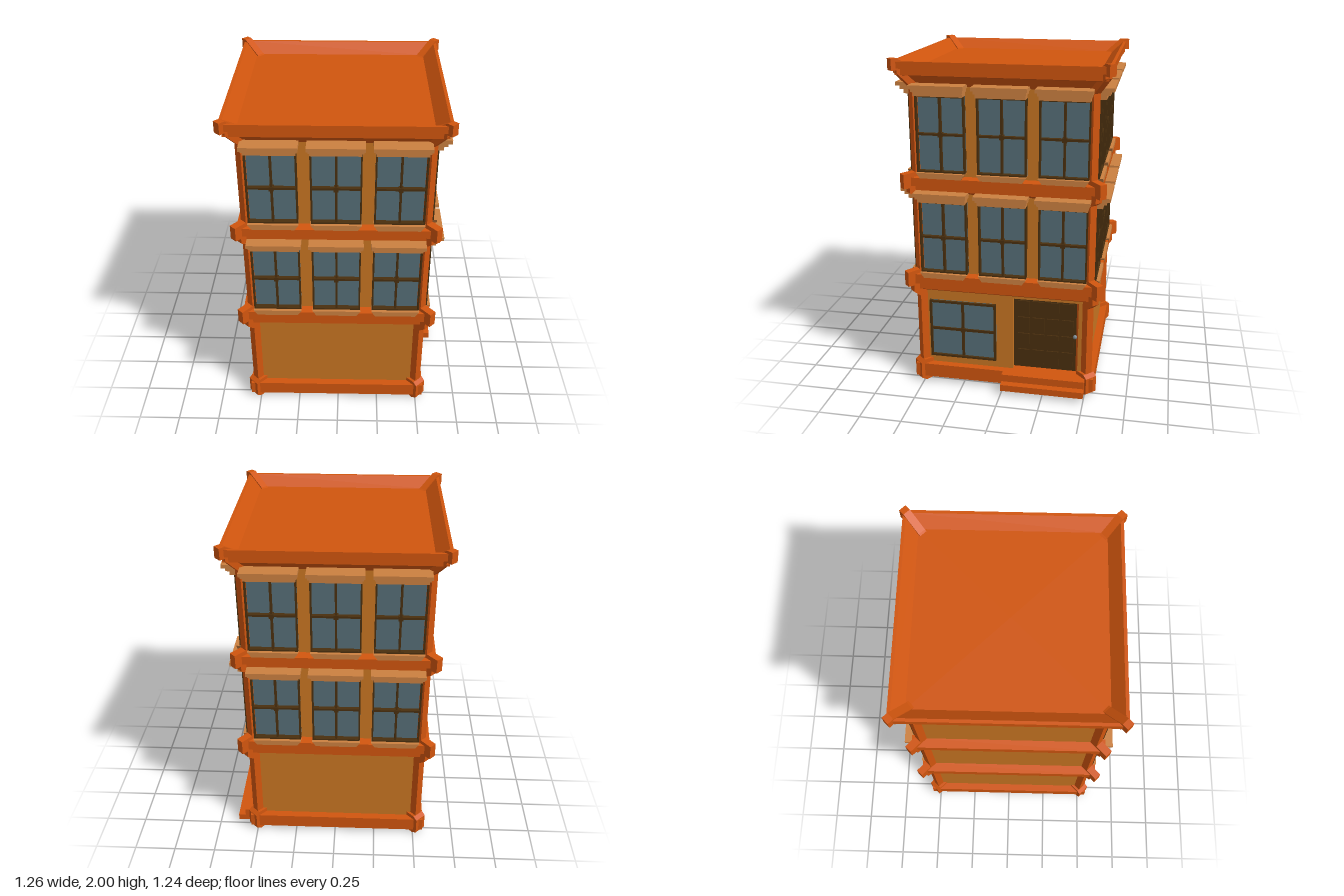
import * as THREE from 'three';

const mat = (name, color) => Object.assign(new THREE.MeshStandardMaterial({ color }), { name });

export function createModel() {
  const orange = mat('orange stone', 0xd0550e);
  const ochre = mat('ochre wall', 0xc87522);
  const tan = mat('tan trim', 0xcb8040);
  const brown = mat('dark brown wood', 0x4a2f0e);
  const glass = mat('window glass', 0x566e77);
  const grey = mat('grey metal', 0x77848c);

  const model = new THREE.Group();
  const building = new THREE.Group();
  building.name = 'building';
  building.position.x = -0.009;
  model.add(building);

  const add = (parent, name, geo, material) => {
    const mesh = new THREE.Mesh(geo, material);
    mesh.name = name;
    parent.add(mesh);
    return mesh;
  };
  // Box given by its extents on each axis
  const box = (parent, name, material, x0, x1, y0, y1, z0, z1) => {
    const mesh = add(parent, name, new THREE.BoxGeometry(x1 - x0, y1 - y0, z1 - z0), material);
    mesh.position.set((x0 + x1) / 2, (y0 + y1) / 2, (z0 + z1) / 2);
    return mesh;
  };
  // Square ring swept round the building from [half width, y] points, bottom to top
  const band = (name, profile) => {
    const pts = profile.map(([h, y]) => new THREE.Vector2(h * Math.SQRT2, y));
    const geo = new THREE.LatheGeometry(pts, 4, Math.PI / 4).toNonIndexed();
    geo.computeVertexNormals();
    return add(building, name, geo, orange);
  };

  // Walls; the ground floor stops short on +x to leave room for the doorway
  const W = 0.505;
  box(building, 'upperWalls', ochre, -W, W, 0.61, 1.9, -W, W);
  box(building, 'groundWalls', ochre, -W, 0.46, 0.1, 0.61, -W, W);

  // Horizontal bands
  band('baseBand', [[0, 0.03], [0.55, 0.03], [0.55, 0.115], [0.45, 0.115]]);
  band('firstFloorBand', [[W, 0.6], [0.54, 0.62], [0.54, 0.66], [0.56, 0.66], [0.56, 0.72], [W, 0.725]]);
  band('secondFloorBand', [[W, 1.22], [0.54, 1.24], [0.54, 1.27], [0.56, 1.27], [0.56, 1.32], [W, 1.325]]);
  band('corniceAndRoof', [[W, 1.84], [0.55, 1.9], [0.585, 1.908], [0.585, 1.945], [0.603, 1.945],
    [0.603, 1.985], [0.585, 1.985], [0.52, 1.925], [0, 1.925]]);

  // Corner posts: a profile on the diagonal, extruded to a thin upright fin
  const fin = (name, profile, width, k) => {
    const shape = new THREE.Shape(profile.map(([r, y]) => new THREE.Vector2(r * Math.SQRT2, y)));
    const geo = new THREE.ExtrudeGeometry(shape, { depth: width, bevelEnabled: false });
    geo.translate(0, 0, -width / 2);
    add(building, name, geo, orange).rotation.y = Math.PI / 4 + k * Math.PI / 2;
  };
  const post = [[0.45, 0.1], [0.521, 0.1],
    [0.521, 0.57], [0.55, 0.605], [0.55, 0.648], [0.576, 0.648], [0.576, 0.738], [0.521, 0.745],
    [0.521, 1.2], [0.55, 1.225], [0.55, 1.257], [0.576, 1.257], [0.576, 1.342], [0.521, 1.348],
    [0.521, 1.83], [0.583, 1.92], [0.583, 1.935], [0.606, 1.935], [0.606, 2], [0.58, 2],
    [0.5, 1.93], [0.45, 1.9]];
  const foot = [[0.47, 0.01], [0.515, 0], [0.538, 0.02], [0.538, 0.12], [0.52, 0.14], [0.47, 0.14]];
  for (let k = 0; k < 4; k++) {
    fin('cornerPost', post, 0.046, k);
    fin('cornerFoot', foot, 0.078, k);
  }

  // Glazed window with frame and crossbars, facing local +z
  const addWindow = (parent, cx, y0, y1, w, zGlass, zOut, f, m) => {
    const g = new THREE.Group();
    g.name = 'window';
    parent.add(g);
    const x0 = cx - w / 2, x1 = cx + w / 2, cy = (y0 + y1) / 2;
    box(g, 'pane', glass, x0, x1, y0, y1, zGlass - 0.008, zGlass);
    for (const [a, b] of [[x0, x0 + f], [x1 - f, x1]]) box(g, 'frameSide', brown, a, b, y0, y1, 0.5, zOut);
    for (const [a, b] of [[y0, y0 + f], [y1 - f, y1]]) box(g, 'frameRail', brown, x0 + f, x1 - f, a, b, 0.5, zOut);
    box(g, 'uprightBar', brown, cx - m / 2, cx + m / 2, y0 + f, y1 - f, zGlass, zOut - 0.005);
    box(g, 'crossBar', brown, x0 + f, x1 - f, cy - m / 2, cy + m / 2, zGlass, zOut - 0.006);
    box(g, 'barBoss', brown, cx - 0.013, cx + 0.013, cy - 0.013, cy + 0.013, zGlass, zOut);
    return g;
  };

  // Sloped-end sill under a window
  const addSill = (parent, cx, y) => {
    const s = new THREE.Shape();
    s.moveTo(cx - 0.12, y - 0.032);
    s.lineTo(cx + 0.12, y - 0.032);
    s.lineTo(cx + 0.143, y);
    s.lineTo(cx - 0.143, y);
    const geo = new THREE.ExtrudeGeometry(s, { depth: 0.065, bevelEnabled: false });
    geo.translate(0, 0, 0.5);
    add(parent, 'sill', geo, tan);
  };

  // Two rows of three windows on the front, right and back
  const faces = [0, 1, 2].map((k) => {
    const face = new THREE.Group();
    face.name = ['frontFace', 'rightFace', 'backFace'][k];
    face.rotation.y = k * Math.PI / 2;
    building.add(face);
    for (const y of [0.735, 1.352]) {
      for (const cx of [-0.352, 0, 0.352]) {
        addWindow(face, cx, y, y + 0.44, 0.282, 0.515, 0.546, 0.009, 0.012);
        addSill(face, cx, y);
        // Stepped lintel, widening upwards
        [[0.28, 0.57, 0, 0.025], [0.295, 0.59, 0.025, 0.045], [0.31, 0.612, 0.045, 0.066]]
          .forEach(([w, z, a, b]) =>
            box(face, 'lintel', tan, cx - w / 2, cx + w / 2, y + 0.44 + a, y + 0.44 + b, 0.5, z));
      }
    }
    return face;
  });

  // Ground floor shopfront wall with a doorway, on the right
  const shop = faces[1];
  const wall = new THREE.Shape();
  wall.moveTo(-W, 0.1);
  wall.lineTo(0.055, 0.1);
  wall.lineTo(0.055, 0.585);
  wall.lineTo(0.45, 0.585);
  wall.lineTo(0.45, 0.1);
  wall.lineTo(W, 0.1);
  wall.lineTo(W, 0.61);
  wall.lineTo(-W, 0.61);
  const wallGeo = new THREE.ExtrudeGeometry(wall, { depth: W - 0.46, bevelEnabled: false });
  wallGeo.translate(0, 0, 0.46);
  add(shop, 'doorWall', wallGeo, ochre);
  addWindow(shop, -0.253, 0.165, 0.54, 0.41, 0.51, 0.525, 0.013, 0.016).name = 'shopWindow';

  // Door with a grid of raised panels
  box(shop, 'door', brown, 0.055, 0.45, 0.115, 0.585, 0.455, 0.468);
  for (let i = 0; i < 4; i++) {
    for (let j = 0; j < 4; j++) {
      const x = 0.08 + i * 0.089, y = 0.145 + j * 0.108;
      box(shop, 'doorPanel', brown, x, x + 0.072, y, y + 0.092, 0.465, 0.476);
    }
  }
  const knob = add(shop, 'doorKnob', new THREE.SphereGeometry(0.013, 12, 8), grey);
  knob.position.set(0.43, 0.355, 0.485);

  // Doorsteps
  box(shop, 'upperStep', orange, 0, 0.5, 0.07, 0.115, 0.46, 0.592);
  box(shop, 'lowerStep', orange, 0, 0.5, 0.03, 0.07, 0.46, 0.636);

  return model;
}
